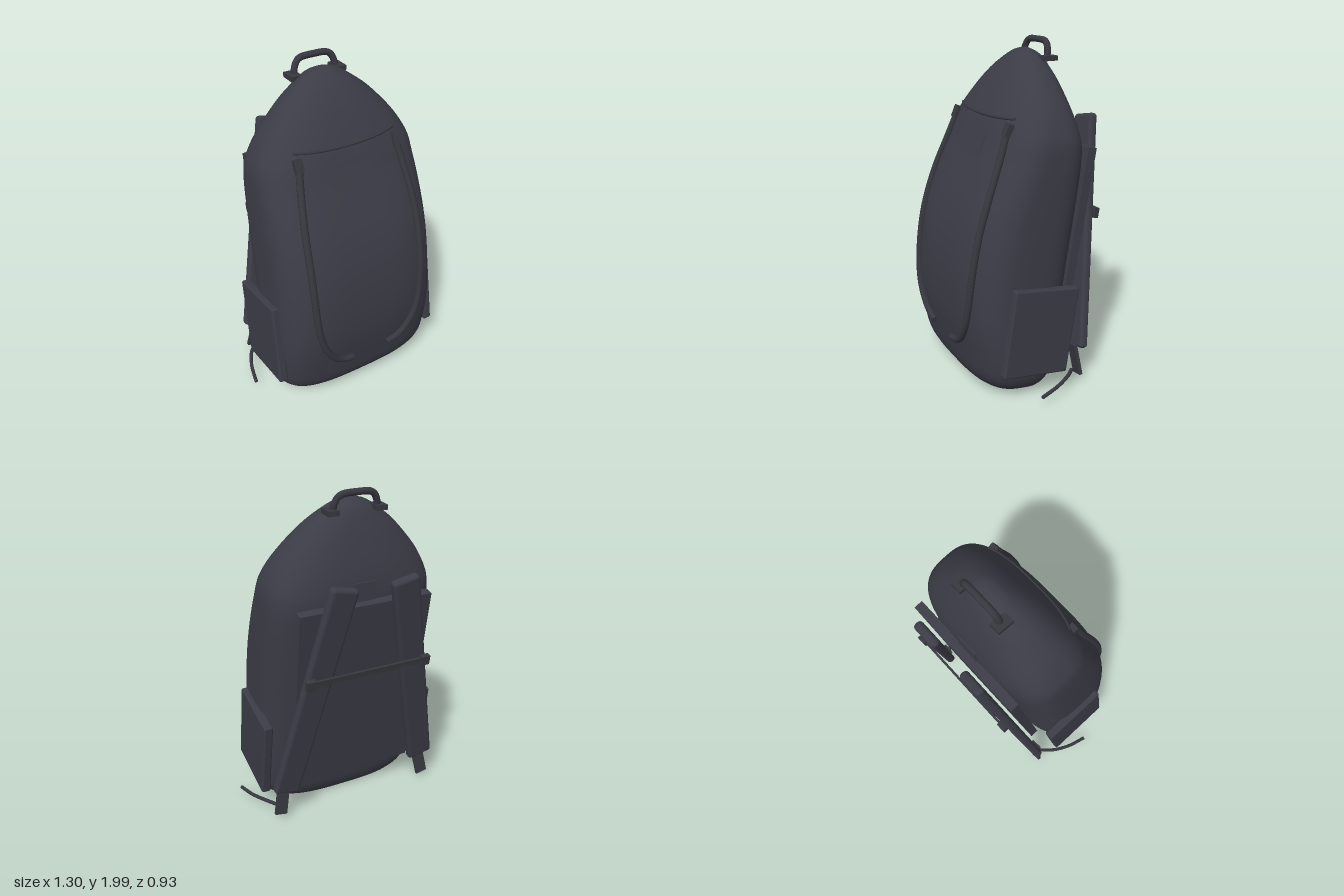
import * as THREE from 'three';
import { RoundedBoxGeometry } from 'three/addons/geometries/RoundedBoxGeometry.js';

const LEAN = 0.16;

// Body sections: height, half width, back z, front z, roundness exponent
const SECTIONS = [
  [0.008, 0.475, -0.055, 0.39, 3.0],
  [0.05, 0.51, -0.075, 0.42, 3.1],
  [0.12, 0.53, -0.087, 0.447, 3.3],
  [0.35, 0.535, -0.087, 0.515, 3.5],
  [0.57, 0.53, -0.087, 0.55, 3.5],
  [0.8, 0.525, -0.087, 0.557, 3.5],
  [1.0, 0.52, -0.087, 0.538, 3.5],
  [1.2, 0.513, -0.087, 0.495, 3.4],
  [1.35, 0.505, -0.087, 0.457, 3.2],
  [1.45, 0.493, -0.08, 0.438, 3.0],
  [1.53, 0.46, -0.063, 0.42, 2.8],
  [1.61, 0.412, -0.037, 0.395, 2.6],
  [1.7, 0.338, 0.0, 0.362, 2.5],
  [1.78, 0.262, 0.037, 0.325, 2.4],
  [1.84, 0.188, 0.07, 0.29, 2.3],
  [1.885, 0.125, 0.1, 0.255, 2.2],
  [1.912, 0.07, 0.135, 0.223, 2.1],
  [1.926, 0, 0.18, 0.18, 2],
];

// Smooth cubic interpolation of the section table at height y
function sectionAt(y) {
  const last = SECTIONS.length - 1;
  let i = 0;
  while (i < last - 1 && y > SECTIONS[i + 1][0]) i++;
  const a = SECTIONS[i], b = SECTIONS[i + 1];
  const p = SECTIONS[Math.max(i - 1, 0)], n = SECTIONS[Math.min(i + 2, last)];
  const h = b[0] - a[0];
  const t = THREE.MathUtils.clamp((y - a[0]) / h, 0, 1), t2 = t * t, t3 = t2 * t;
  return a.map((v, k) => {
    if (k === 0) return y;
    const m0 = (b[k] - p[k]) / (b[0] - p[0]) * h;
    const m1 = (n[k] - a[k]) / (n[0] - a[0]) * h;
    return (2 * t3 - 3 * t2 + 1) * v + (t3 - 2 * t2 + t) * m0 + (3 * t2 - 2 * t3) * b[k] + (t3 - t2) * m1;
  });
}

// z of the body's front surface
function frontZ(x, y) {
  const [, hw, zb, zf, n] = sectionAt(y);
  const r = Math.min(Math.abs(x) / hw, 1);
  return (zb + zf) / 2 + (zf - zb) / 2 * Math.pow(1 - Math.pow(r, n), 1 / n);
}

function ring(y, count) {
  const [, hw, zb, zf, n] = sectionAt(y);
  const pts = [];
  const pow = (v) => Math.sign(v) * Math.pow(Math.abs(v), 2 / n);
  for (let j = 0; j < count; j++) {
    const a = j / count * Math.PI * 2;
    pts.push(hw * pow(Math.cos(a)), y, (zb + zf) / 2 + (zf - zb) / 2 * pow(Math.sin(a)));
  }
  return pts;
}

function buildGeometry(positions, index) {
  const g = new THREE.BufferGeometry();
  g.setAttribute('position', new THREE.Float32BufferAttribute(positions, 3));
  g.setIndex(index);
  g.computeVertexNormals();
  return g;
}

function bodyGeometry(count) {
  const pos = [], index = [];
  let rows = 0;
  SECTIONS.forEach((s, i) => {
    const next = SECTIONS[i + 1];
    for (let k = 0; k < (next ? 4 : 1); k++, rows++) {
      pos.push(...ring(next ? s[0] + (next[0] - s[0]) * k / 4 : s[0], count));
    }
  });
  for (let i = 0; i < rows - 1; i++) {
    for (let j = 0; j < count; j++) {
      const a = i * count + j, b = i * count + (j + 1) % count;
      index.push(a, a + count, b, b, a + count, b + count);
    }
  }
  return buildGeometry(pos, index);
}

function baseGeometry(count) {
  const y = SECTIONS[0][0], index = [];
  const pos = [...ring(y, count), 0, y, 0.17];
  for (let j = 0; j < count; j++) index.push(count, j, (j + 1) % count);
  return buildGeometry(pos, index);
}

export function createModel() {
  const model = new THREE.Group();
  model.name = 'backpack';
  const bag = new THREE.Group();
  bag.name = 'leaningBag';
  bag.rotation.x = -LEAN;
  model.add(bag);

  const fabric = new THREE.MeshStandardMaterial({ color: 0x3c3c47 });
  fabric.name = 'charcoal fabric';
  const trim = new THREE.MeshStandardMaterial({ color: 0x37373f });
  trim.name = 'dark trim';

  const add = (name, geometry, material, parent = bag) => {
    const m = new THREE.Mesh(geometry, material);
    m.name = name;
    parent.add(m);
    return m;
  };
  const box = (name, w, h, d, x, y, z, material, r = 0) => {
    const g = r ? new RoundedBoxGeometry(w, h, d, 3, r) : new THREE.BoxGeometry(w, h, d);
    const m = add(name, g, material);
    m.position.set(x, y, z);
    return m;
  };
  const tube = (name, pts, radius, material, parent = bag) => {
    const v = pts.map((p) => new THREE.Vector3(...p));
    const m = add(name, new THREE.TubeGeometry(new THREE.CatmullRomCurve3(v), 48, radius, 10), material, parent);
    // end discs
    [[v[0], v[1]], [v[v.length - 1], v[v.length - 2]]].forEach(([end, inner]) => {
      const cap = add(name + 'End', new THREE.CircleGeometry(radius, 10), material, parent);
      cap.position.copy(end);
      cap.quaternion.setFromUnitVectors(new THREE.Vector3(0, 0, 1), end.clone().sub(inner).normalize());
    });
    return m;
  };

  // Main body and flat base
  add('body', bodyGeometry(96), fabric);
  add('base', baseGeometry(96), fabric);

  // Seam across the top of the front panel
  const seam = [];
  for (let i = 0; i <= 12; i++) {
    const x = -0.32 + 0.64 * i / 12;
    const y = 1.528 + 0.02 * (x / 0.32) ** 2;
    seam.push([x, y, frontZ(x, y) + 0.002]);
  }
  tube('frontSeam', seam, 0.008, trim);

  // Nearly flush patches on front and back
  const patch = box('frontPatch', 0.26, 0.135, 0.006, 0, 1.355, frontZ(0, 1.355) - 0.001, fabric);
  patch.rotation.x = -Math.atan2(frontZ(0, 1.29) - frontZ(0, 1.42), 0.13);
  const backPatch = box('backPatch', 0.14, 0.11, 0.008, 0, 1.48, -0.077, fabric);
  backPatch.rotation.x = 0.16;

  // Padded back panel
  box('backPanel', 0.8, 1.22, 0.055, 0, 0.82, -0.106, fabric);

  // Sternum strap
  box('chestStrap', 0.7, 0.035, 0.014, 0, 1.042, -0.222, trim);

  // Carry handle
  tube('carryHandle', [
    [-0.13, 1.87, 0.115], [-0.125, 1.925, 0.115], [-0.095, 1.968, 0.115], [0, 1.978, 0.115],
    [0.095, 1.968, 0.115], [0.125, 1.925, 0.115], [0.13, 1.87, 0.115],
  ], 0.019, trim);

  for (const s of [1, -1]) {
    const side = s > 0 ? 'left' : 'right';

    // Handle mount
    const mount = box(side + 'HandleMount', 0.066, 0.028, 0.095, s * 0.142, 1.882, 0.117, trim);
    mount.rotation.x = LEAN;

    // Curved front piping with its top tab
    const path = [[0.31, 1.49], [0.335, 1.33], [0.36, 1.115], [0.368, 0.9], [0.367, 0.7],
      [0.352, 0.49], [0.318, 0.36], [0.25, 0.255], [0.19, 0.215], [0.125, 0.2]];
    tube(side + 'FrontPiping', path.map(([x, y]) => [s * x, y, frontZ(x, y) + 0.008]), 0.021, trim);
    const tab = box(side + 'PipingTab', 0.048, 0.075, 0.035, s * 0.315, 1.485, frontZ(0.315, 1.485) + 0.01, trim);
    tab.rotation.x = -0.25;

    // Side pocket
    const pocket = box(side + 'SidePocket', 0.056, 0.52, 0.42, s * 0.538, 0.392, 0.15, fabric, 0.012);
    pocket.rotation.z = s * 0.02;

    // Shoulder strap
    const strap = box(side + 'ShoulderStrap', 0.165, 1.39, 0.056, s * 0.322, 0.915, -0.183, fabric, 0.022);
    strap.rotation.z = s * 0.21;

    // Chest strap buckle
    box(side + 'ChestBuckle', 0.055, 0.06, 0.03, s * 0.36, 1.042, -0.225, trim);

    // Lower webbing and its loose tail
    const web = box(side + 'LowerWebbing', 0.075, 0.19, 0.02, s * 0.485, 0.16, -0.176, trim);
    web.rotation.set(0.28, 0, s * 0.18);
    tube(side + 'StrapTail', [
      [s * 0.5, 0.07, -0.165], [s * 0.56, 0.082, -0.1], [s * 0.61, 0.072, 0], [s * 0.64, 0.052, 0.125],
    ], 0.011, trim, model);
  }

  return model;
}
